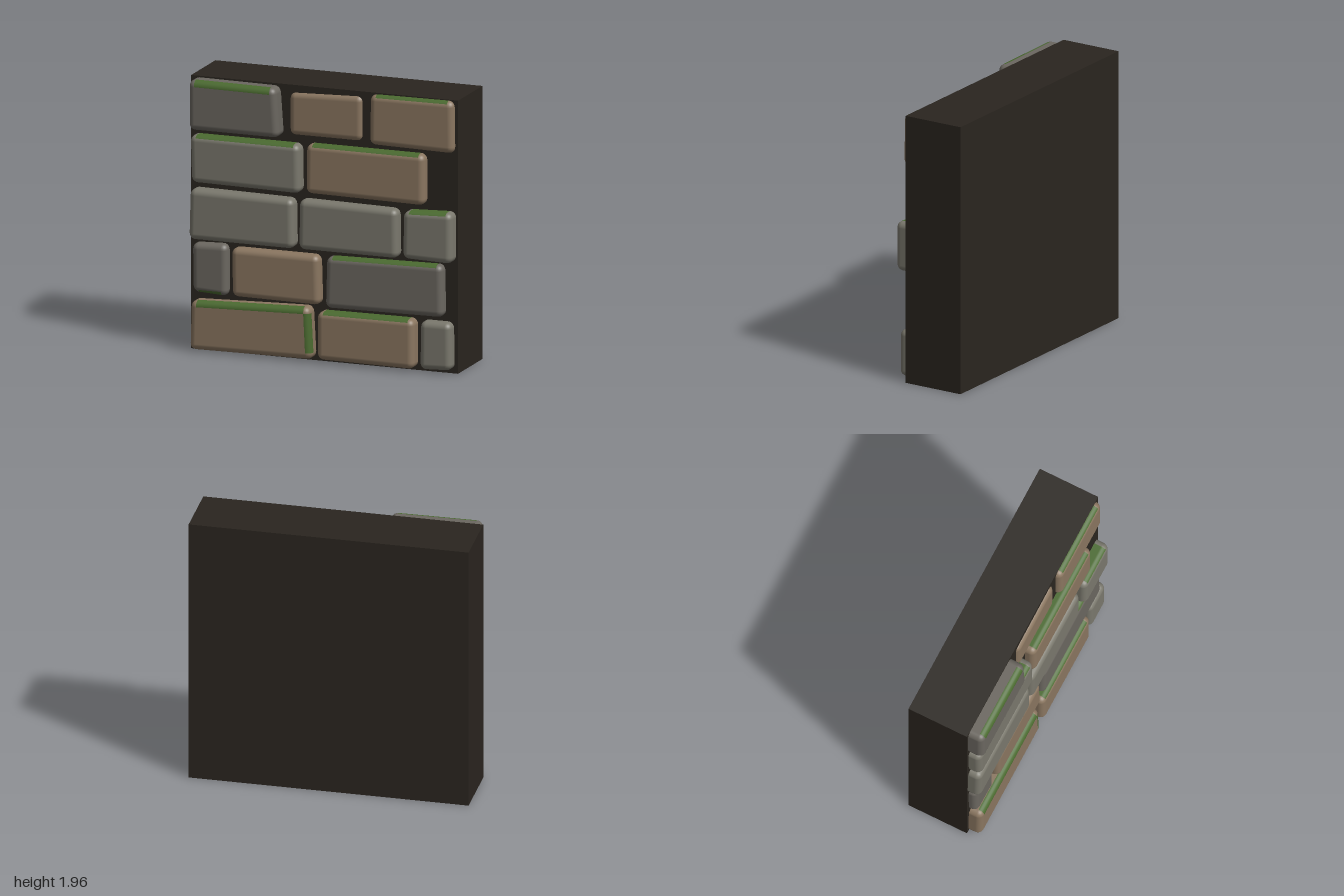
import * as THREE from 'three';
import { RoundedBoxGeometry } from 'three/addons/geometries/RoundedBoxGeometry.js';

const BACK = 0.06; // stones are set this deep into the mortar core
const RADIUS = 0.045;

const material = (color) => new THREE.MeshStandardMaterial({ color });

// Each stone: corners [x, y] top left, top right, bottom right, bottom left; front z; colour; moss.
// Moss: T = front top bevel, t = top face, R = right bevel, B = lower edge
const STONES = [
  // top course
  [[-0.98, 1.95], [-0.33, 1.945], [-0.305, 1.59], [-0.98, 1.59], 0.285, 'dark', 'T'],
  [[-0.26, 1.91], [0.29, 1.93], [0.29, 1.6], [-0.26, 1.6], 0.195, 'brown', ''],
  [[0.35, 1.95], [0.975, 1.955], [0.98, 1.58], [0.345, 1.59], 0.215, 'brown', 't'],
  // fourth course
  [[-0.98, 1.55], [-0.16, 1.55], [-0.155, 1.2], [-0.97, 1.21], 0.265, 'grey', 't'],
  [[-0.115, 1.56], [0.77, 1.56], [0.77, 1.195], [-0.12, 1.205], 0.245, 'brown', 't'],
  // middle course
  [[-0.98, 1.165], [-0.205, 1.155], [-0.2, 0.8], [-0.99, 0.8], 0.265, 'grey', ''],
  [[-0.165, 1.16], [0.57, 1.15], [0.575, 0.8], [-0.17, 0.8], 0.255, 'grey', ''],
  [[0.62, 1.15], [0.985, 1.165], [0.985, 0.8], [0.615, 0.81], 0.27, 'grey', 't'],
  // second course
  [[-0.975, 0.77], [-0.71, 0.78], [-0.71, 0.405], [-0.97, 0.42], 0.235, 'dark', 'B'],
  [[-0.675, 0.765], [-0.02, 0.765], [-0.01, 0.41], [-0.67, 0.415], 0.25, 'brown', ''],
  [[0.035, 0.765], [0.905, 0.78], [0.91, 0.405], [0.025, 0.395], 0.245, 'dark', 't'],
  // bottom course
  [[-0.97, 0.365], [-0.08, 0.395], [-0.06, 0.02], [-0.98, 0.012], 0.27, 'brown', 'TR'],
  [[-0.025, 0.37], [0.7, 0.375], [0.7, 0.02], [-0.025, 0.025], 0.27, 'brown', 't'],
  [[0.74, 0.37], [0.97, 0.37], [0.975, 0.03], [0.735, 0.02], 0.25, 'grey', ''],
];

// Rounded block skewed to four corners, split into bare stone and mossy faces
function buildStone([tl, tr, br, bl, front, color, moss], mats) {
  const w = (tr[0] - tl[0] + br[0] - bl[0]) / 2;
  const h = (tl[1] - bl[1] + tr[1] - br[1]) / 2;
  const d = front - BACK;
  const block = new RoundedBoxGeometry(w, h, d, 3, RADIUS);
  const pos = block.attributes.position;
  const nor = block.attributes.normal;
  const parts = { stone: { p: [], n: [] }, moss: { p: [], n: [] } };
  const ix = w / 2 - RADIUS, iy = h / 2 - RADIUS, iz = d / 2 - RADIUS;

  const isMossy = (c, n) =>
    (moss.includes('T') && c.y > iy && Math.abs(c.x) < ix && c.z > iz) ||
    (moss.includes('t') && n.y > 0.6 && Math.abs(c.x) < ix && c.z > -iz) ||
    (moss.includes('R') && c.x > ix && Math.abs(c.y) < iy && c.z > iz) ||
    (moss.includes('B') && n.y < -0.4 && Math.abs(c.x) < ix && c.z > iz);

  const v = new THREE.Vector3();
  for (let i = 0; i < pos.count; i += 3) {
    const c = new THREE.Vector3(), n = new THREE.Vector3();
    for (let k = i; k < i + 3; k++) {
      c.addScaledVector(v.fromBufferAttribute(pos, k), 1 / 3);
      n.addScaledVector(v.fromBufferAttribute(nor, k), 1 / 3);
    }
    const part = isMossy(c, n) ? parts.moss : parts.stone;
    for (let k = i; k < i + 3; k++) {
      const s = pos.getX(k) / w + 0.5, t = pos.getY(k) / h + 0.5;
      const blend = (a) =>
        (1 - t) * ((1 - s) * bl[a] + s * br[a]) + t * ((1 - s) * tl[a] + s * tr[a]);
      part.p.push(blend(0), blend(1), pos.getZ(k) + BACK + d / 2);
      part.n.push(nor.getX(k), nor.getY(k), nor.getZ(k));
    }
  }

  const group = new THREE.Group();
  for (const name of ['stone', 'moss']) {
    if (!parts[name].p.length) continue;
    const geo = new THREE.BufferGeometry();
    geo.setAttribute('position', new THREE.Float32BufferAttribute(parts[name].p, 3));
    geo.setAttribute('normal', new THREE.Float32BufferAttribute(parts[name].n, 3));
    const mesh = new THREE.Mesh(geo, name === 'moss' ? mats.moss : mats[color]);
    mesh.name = name;
    group.add(mesh);
  }
  return group;
}

export function createModel() {
  const model = new THREE.Group();
  model.name = 'stoneWall';
  const mats = {
    grey: material(0x7a786d),
    dark: material(0x6b6760),
    brown: material(0x8a7660),
    moss: material(0x4b6b30),
  };

  // Mortar core
  const core = new THREE.Mesh(new THREE.BoxGeometry(2, 1.96, 0.457), material(0x2a251f));
  core.name = 'mortarCore';
  core.position.set(0, 0.98, -0.0565);
  model.add(core);

  // Facing stones
  STONES.forEach((data, i) => {
    const stone = buildStone(data, mats);
    stone.name = `facingStone${i + 1}`;
    model.add(stone);
  });
  return model;
}
